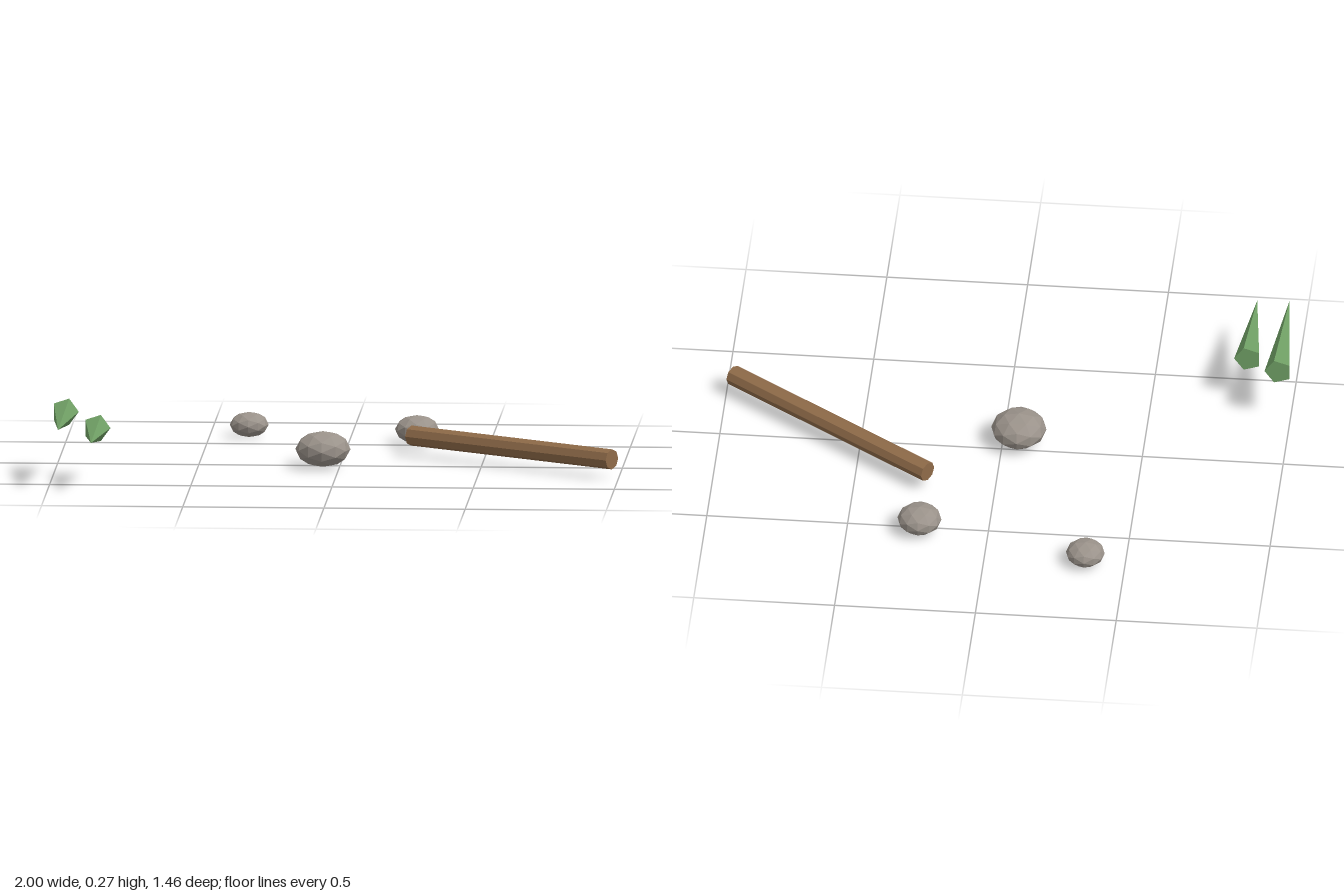
import * as THREE from 'three';

const material = (color) => new THREE.MeshStandardMaterial({ color, flatShading: true });

export function createModel() {
  const model = new THREE.Group();
  const stone = material(0x9a928a);
  const wood = material(0x8f6b49);
  const leaf = material(0x70a065);

  const add = (name, geometry, mat, x, y, z) => {
    const mesh = new THREE.Mesh(geometry, mat);
    mesh.name = name;
    mesh.position.set(x, y, z);
    model.add(mesh);
    return mesh;
  };

  // Flattened faceted rocks: radius, x, y, z
  [
    [0.098, -0.058, 0.067, 0.04],
    [0.078, 0.243, 0.055, -0.522],
    [0.069, -0.359, 0.046, -0.661],
  ].forEach(([r, x, y, z], i) => {
    add(`rock${i + 1}`, new THREE.IcosahedronGeometry(r, 1), stone, x, y, z).scale.y = 0.65;
  });

  // Eight-sided log lying diagonally
  const log = add('log', new THREE.CylinderGeometry(0.036, 0.036, 0.905, 8), wood, 0.608, 0.072, 0);
  log.rotation.set(0, -0.614, Math.PI / 2);

  // Five-sided spikes pointing forward: length, x, y, base z
  [
    [0.435, -0.96, 0.224, 0.246],
    [0.358, -0.841, 0.185, 0.367],
  ].forEach(([length, x, y, z], i) => {
    const cone = new THREE.ConeGeometry(0.049, length, 5, 1, false, Math.PI / 2);
    add(`leafSpike${i + 1}`, cone, leaf, x, y, z + length / 2).rotation.x = Math.PI / 2;
  });

  return model;
}
